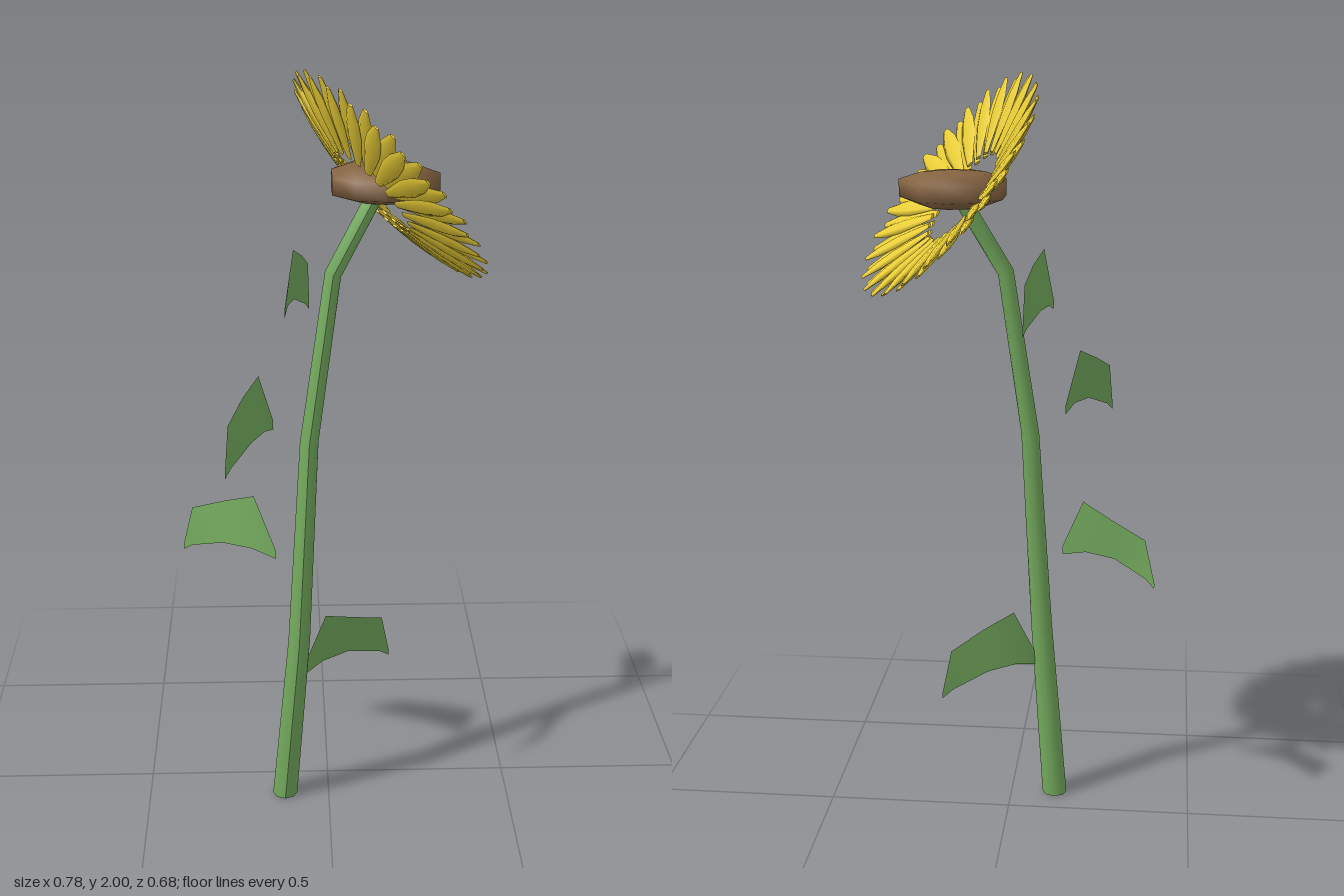
import * as THREE from 'three';

const V = (x, y, z) => new THREE.Vector3(x, y, z);
const paint = (name, color, side = THREE.FrontSide) => {
  const m = new THREE.MeshStandardMaterial({ color, side });
  m.name = name;
  return m;
};

// Bent, tapering stem: each ring of a cylinder is moved to a joint
function stemGeometry() {
  const joints = [
    [V(-0.122, 0, 0.1), 0.034], [V(-0.08, 0.5, 0.127), 0.029], [V(-0.05, 1.06, 0.085), 0.024],
    [V(0.012, 1.5, 0.05), 0.02], [V(0.118, 1.69, 0.005), 0.02],
  ];
  const g = new THREE.CylinderGeometry(1, 1, 4, 8, 4);
  const p = g.attributes.position;
  for (let i = 0; i < p.count; i++) {
    const [c, r] = joints[Math.round(p.getY(i) + 2)];
    const x = p.getX(i) * r, z = p.getZ(i) * r;
    // the top rings lean with the bent neck
    const lean = c.y > 1.4 ? -0.4 * x : 0;
    p.setXYZ(i, c.x + x, c.y + lean, c.z + z);
  }
  g.computeVertexNormals();
  return g;
}

// Upright drooping blade between a root and a tip, from upper and lower edges
function leafGeometry(root, tip) {
  const out = V(tip.x - root.x, 0, tip.z - root.z);
  const side = V(out.z, 0, -out.x).normalize();
  // [fraction along, upper height, lower height]
  const sections = [[0, 0.012, -0.012], [0.24, 0.153, 0.006], [0.55, 0.12, 0.004],
    [0.9, 0.08, -0.03], [1, -0.035, -0.05]];
  const g = new THREE.PlaneGeometry(1, 1, sections.length - 1, 1);
  const p = g.attributes.position;
  for (let i = 0; i < p.count; i++) {
    const [s, hi, lo] = sections[i % sections.length];
    const upper = i < sections.length;
    const q = root.clone().addScaledVector(out, s)
      .addScaledVector(side, (upper ? -0.011 : 0.011) * Math.sin(Math.PI * s));
    p.setXYZ(i, q.x, q.y + (upper ? hi : lo), q.z);
  }
  g.computeVertexNormals();
  return g;
}

// Flattened seed disc with a slightly uneven outline of [x, z] points
function discGeometry() {
  const outline = [[0, 0.135], [0.07, 0.13], [0.14, 0.02], [0.07, -0.105], [0, -0.13],
    [-0.08, -0.105], [-0.13, -0.03], [-0.13, 0.065], [-0.075, 0.12]];
  const profile = [[0, -0.048], [0.6, -0.041], [1, -0.021], [1, 0.023], [0.6, 0.042], [0, 0.05]];
  const g = new THREE.LatheGeometry(profile.map(([r, y]) => new THREE.Vector2(r, y)), outline.length);
  const p = g.attributes.position;
  for (let i = 0; i < p.count; i++) {
    const [x, z] = outline[Math.floor(i / profile.length) % outline.length];
    const [r, y] = profile[i % profile.length];
    p.setXYZ(i, x * r, y, z * r);
  }
  g.computeVertexNormals();
  return g;
}

// Petal lying along +x: a lens-shaped tube, narrow base, wide middle, blunt tip,
// rising from the cupped centre of the ring
function petalGeometry(inner, outer) {
  const widths = [0.022, 0.04, 0.054, 0.048, 0.018];
  const g = new THREE.CylinderGeometry(0.5, 0.5, 1, 6, 4);
  g.rotateZ(-Math.PI / 2);
  const p = g.attributes.position;
  for (let i = 0; i < p.count; i++) {
    const t = p.getX(i) + 0.5, w = widths[Math.round(t * 4)];
    p.setXYZ(i, inner + (outer - inner) * t, -0.05 * (1 - t) + p.getY(i) * w * 0.3, p.getZ(i) * w);
  }
  g.computeVertexNormals();
  return g;
}

export function createModel() {
  const model = new THREE.Group();
  model.name = 'flower';
  const green = paint('leaf green', 0x74aa5e, THREE.DoubleSide);
  const yellow = paint('petal yellow', 0xe8cc36);
  const brown = paint('seed brown', 0x846341);
  const add = (parent, name, geometry, material) => {
    const mesh = new THREE.Mesh(geometry, material);
    mesh.name = name;
    parent.add(mesh);
    return mesh;
  };

  add(model, 'stem', stemGeometry(), green);

  // Leaves, lowest first
  [
    [V(-0.07, 0.395, 0.114), V(0.175, 0.395, -0.06)],
    [V(-0.14, 0.735, 0.08), V(-0.392, 0.735, -0.065)],
    [V(-0.142, 1.12, 0.112), V(-0.26, 1.12, 0.338)],
    [V(-0.11, 1.41, 0.09), V(-0.045, 1.41, -0.1)],
  ].forEach(([root, tip], i) => add(model, `leaf${i + 1}`, leafGeometry(root, tip), green));

  add(model, 'seedDisc', discGeometry(), brown).position.set(0.14, 1.72, -0.02);

  // Tilted ring of petals in two staggered layers
  const ring = new THREE.Group();
  ring.name = 'petalRing';
  ring.position.set(0.152, 1.731, -0.01);
  ring.quaternion.setFromUnitVectors(V(0, 1, 0), V(0.73, 0.62, -0.3).normalize());
  model.add(ring);
  const count = 24;
  [[0.135, 0.343, 0.004, 0], [0.135, 0.335, -0.006, 0.5]].forEach(([inner, outer, y, shift]) => {
    const g = petalGeometry(inner, outer);
    for (let i = 0; i < count; i++) {
      const petal = add(ring, 'petal', g, yellow);
      petal.position.y = y;
      petal.rotation.y = ((i + shift) / count) * Math.PI * 2;
    }
  });

  return model;
}
